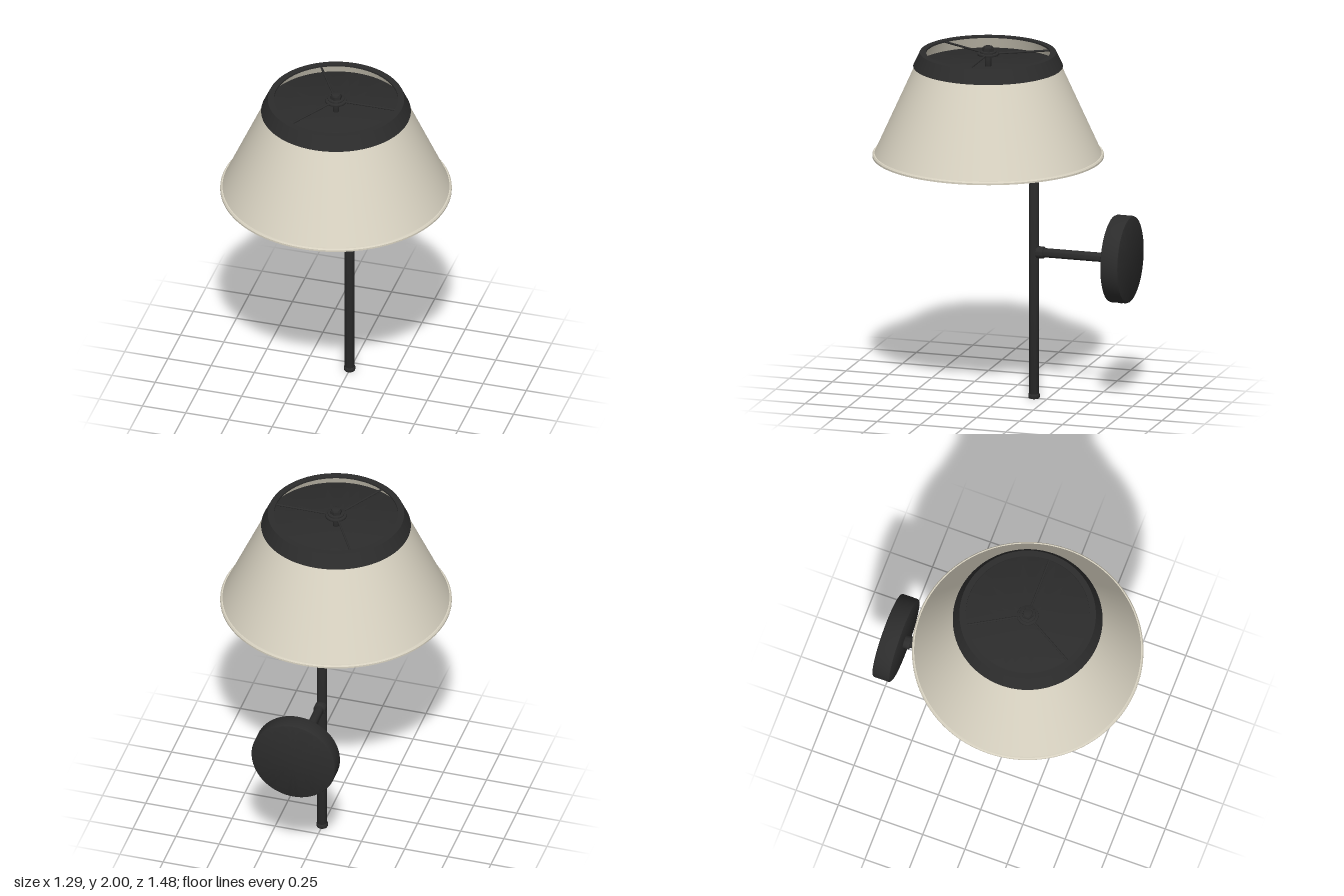
import * as THREE from 'three';
import { toCreasedNormals } from 'three/addons/utils/BufferGeometryUtils.js';

export function createModel() {
  const lamp = new THREE.Group();
  lamp.name = 'wallLamp';
  const mat = (name, color) => {
    const m = new THREE.MeshStandardMaterial({ color });
    m.name = name;
    return m;
  };
  const black = mat('matteBlack', 0x2c2c2c);
  const cream = mat('creamFabric', 0xd9d3c2);
  const bulbWhite = mat('bulbGlass', 0xe6e1d2);

  const add = (name, geometry, material, x = 0, y = 0, z = 0, parent = lamp) => {
    const mesh = new THREE.Mesh(geometry, material);
    mesh.name = name;
    mesh.position.set(x, y, z);
    parent.add(mesh);
    return mesh;
  };
  // Turned part from [radius, height] pairs, with sharp corners kept
  const turned = (points, segments = 72) => toCreasedNormals(
    new THREE.LatheGeometry(points.map(([r, y]) => new THREE.Vector2(r, y)), segments), 0.6);
  // Solid rod with softly rounded ends, rising from y = 0
  const rod = (r, h, b = 0.005, segments = 32) => turned([
    [0, 0], [r - b, 0], [r - b * 0.3, b * 0.3], [r, b],
    [r, h - b], [r - b * 0.3, h - b * 0.3], [r - b, h], [0, h]], segments);
  const alongZ = (geometry) => geometry.rotateX(Math.PI / 2);

  // Upright pole and its end cap
  const poleZ = -0.175, armY = 0.84;
  add('pole', rod(0.028, 1.87), black, 0, 0.01, poleZ);
  add('poleEndCap', rod(0.032, 0.03, 0.008), black, 0, 0, poleZ);

  // Wall mount: arm, two collars, round plate, set screw
  add('arm', alongZ(rod(0.026, 0.45)), black, 0, armY, -0.64);
  add('poleCollar', alongZ(rod(0.034, 0.045)), black, 0, armY, -0.235);
  add('plateCollar', alongZ(rod(0.038, 0.04)), black, 0, armY, -0.638);
  add('wallPlate', alongZ(rod(0.244, 0.105, 0.012, 72)), black, 0, armY, -0.74);
  add('setScrew', rod(0.012, 0.02, 0.002, 16), black, 0, 0.588, -0.685);

  // Shade assembly
  const shade = new THREE.Group();
  shade.name = 'shadeAssembly';
  shade.position.z = 0.0925;
  lamp.add(shade);
  const part = (name, geometry, material, y = 0) => add(name, geometry, material, 0, y, 0, shade);

  part('shadeWall', turned([
    [0.636, 1.375], [0.375, 1.955], [0.369, 1.955], [0.630, 1.375], [0.636, 1.375]], 96), cream);
  part('shadeHem', turned([
    [0.628, 1.37], [0.643, 1.37], [0.643, 1.38], [0.637, 1.388], [0.624, 1.388], [0.628, 1.37]], 96), cream);
  part('topBand', turned([
    [0.408, 1.885], [0.416, 1.885], [0.379, 1.965], [0.345, 1.965],
    [0.345, 1.955], [0.374, 1.955], [0.408, 1.885]], 96), black);
  part('innerDisc', rod(0.403, 0.012, 0.002, 72), black, 1.874);

  // Three spokes to the central hub
  for (let i = 0; i < 3; i++) {
    const spoke = new THREE.Group();
    spoke.name = 'spoke';
    spoke.rotation.y = i * Math.PI * 2 / 3;
    shade.add(spoke);
    const wire = new THREE.CylinderGeometry(0.006, 0.006, 0.31, 12).rotateZ(Math.PI / 2);
    add('spokeWire', wire, black, 0.2, 1.955, 0, spoke);
  }
  part('hubRing', rod(0.06, 0.014, 0.003), black, 1.948);
  part('hubWasher', rod(0.046, 0.01, 0.003), black, 1.962);
  part('finialNut', toCreasedNormals(new THREE.CylinderGeometry(0.034, 0.034, 0.022, 6), 0.5), black, 1.98);
  part('finialCap', rod(0.027, 0.02, 0.007), black, 1.98);
  part('hubStem', rod(0.018, 0.09, 0.002), black, 1.88);

  // Horizontal socket and candle bulb
  const bulbY = 1.52;
  add('socketStem', alongZ(rod(0.035, 0.12)), black, 0, bulbY, poleZ);
  add('socket', alongZ(rod(0.058, 0.19, 0.006)), black, 0, bulbY, -0.085);
  const bulbProfile = new THREE.SplineCurve([
    [0.04, 0], [0.055, 0.06], [0.073, 0.15], [0.068, 0.24], [0.042, 0.33], [0.018, 0.37], [0, 0.38],
  ].map(([r, y]) => new THREE.Vector2(r, y))).getPoints(28);
  bulbProfile.forEach((p) => { p.x = Math.max(p.x, 0); });
  add('bulb', alongZ(new THREE.LatheGeometry(bulbProfile, 40)), bulbWhite, 0, bulbY, 0.1);

  return lamp;
}
